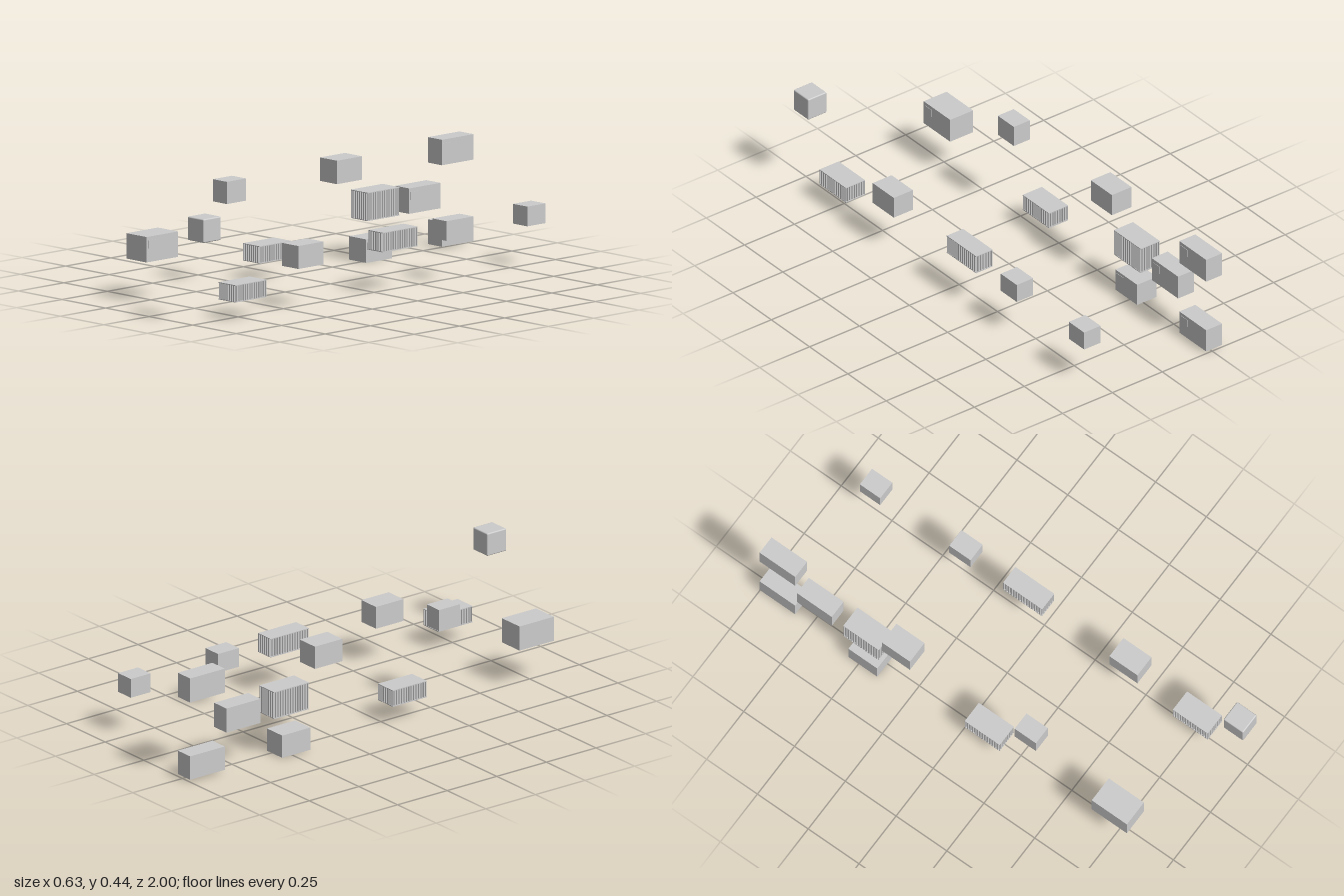
import * as THREE from 'three';
import { RoundedBoxGeometry } from 'three/addons/geometries/RoundedBoxGeometry.js';

const material = new THREE.MeshStandardMaterial({ color: 0xcccccc, flatShading: true });
const smoothMaterial = new THREE.MeshStandardMaterial({ color: 0xcccccc });

function addMesh(parent, name, geometry, x, y, z, mat = material) {
  const mesh = new THREE.Mesh(geometry, mat);
  mesh.name = name;
  mesh.position.set(x, y, z);
  parent.add(mesh);
  return mesh;
}

// Wall outline that steps in and out along all four sides
function corrugatedFootprint(w, d, depth, pitch) {
  const corners = [[-w / 2, -d / 2], [w / 2, -d / 2], [w / 2, d / 2], [-w / 2, d / 2]];
  const points = [];
  corners.forEach(([x0, y0], i) => {
    const [x1, y1] = corners[(i + 1) % 4];
    const length = Math.hypot(x1 - x0, y1 - y0);
    const dx = (x1 - x0) / length, dy = (y1 - y0) / length;
    const ribs = Math.round(length / pitch);
    const step = length / ribs;
    points.push(new THREE.Vector2(x0, y0));
    for (let k = 0; k < ribs; k++) {
      for (const [t, inset] of [[0.3, 0], [0.42, depth], [0.68, depth], [0.8, 0]]) {
        const s = (k + t) * step;
        points.push(new THREE.Vector2(x0 + dx * s - dy * inset, y0 + dy * s + dx * inset));
      }
    }
  });
  return new THREE.Shape(points);
}

// Ribbed walls between a flat floor and roof
function ribbedContainer(group, w, h, d) {
  const plate = 0.003;
  const walls = new THREE.ExtrudeGeometry(corrugatedFootprint(w - 0.001, d - 0.001, 0.005, 0.0125),
    { depth: h - 2 * plate, bevelEnabled: false });
  walls.rotateX(-Math.PI / 2);
  addMesh(group, 'ribbedWalls', walls, 0, -h / 2 + plate, 0);
  for (const [name, side] of [['floor', -1], ['roof', 1]]) {
    addMesh(group, name, new THREE.BoxGeometry(w, plate, d), 0, side * (h - plate) / 2, 0);
  }
}

// Plain crate, optionally with a small plate on its left side near the front
function plainCrate(group, w, h, d, hasPlate) {
  addMesh(group, 'body', new THREE.BoxGeometry(w, h, d), 0, 0, 0);
  if (hasPlate) {
    addMesh(group, 'sidePlate', new THREE.BoxGeometry(0.003, 0.032, 0.045), w / 2, h * 0.2, d / 2 - 0.031);
  }
}

// kind, x range, y range, z range
const crates = [
  ['plate', -0.30, -0.22, 0.34, 0.443, -1.00, -0.825],
  ['plate', -0.30, -0.22, 0.01, 0.11, -1.00, -0.825],
  ['plate', -0.30, -0.22, 0.167, 0.27, -0.817, -0.645],
  ['ribbed', -0.308, -0.212, 0.17, 0.285, -0.583, -0.408],
  ['plate', -0.318, -0.22, 0.0, 0.095, -0.55, -0.408],
  ['plain', -0.318, -0.22, 0.34, 0.435, -0.385, -0.247],
  ['ribbed', -0.308, -0.212, 0.077, 0.147, 0.015, 0.187],
  ['plain', -0.30, -0.22, 0.34, 0.43, 0.255, 0.36],
  ['plate', -0.317, -0.202, 0.167, 0.27, 0.647, 0.82],
  ['plain', 0.225, 0.307, 0.17, 0.25, -0.89, -0.79],
  ['plain', 0.225, 0.307, 0.17, 0.25, -0.45, -0.345],
  ['ribbed', 0.225, 0.307, 0.17, 0.25, -0.185, 0.007],
  ['plain', 0.22, 0.315, 0.167, 0.26, 0.342, 0.48],
  ['ribbed', 0.219, 0.315, 0.077, 0.147, 0.655, 0.827],
  ['rounded', 0.22, 0.313, 0.34, 0.436, 0.903, 1.00],
];

export function createModel() {
  const model = new THREE.Group();
  model.name = 'crates';
  crates.forEach(([kind, x0, x1, y0, y1, z0, z1], i) => {
    const group = new THREE.Group();
    group.name = `${kind}Crate${i + 1}`;
    group.position.set((x0 + x1) / 2, (y0 + y1) / 2, (z0 + z1) / 2);
    const size = [x1 - x0, y1 - y0, z1 - z0];
    if (kind === 'ribbed') ribbedContainer(group, ...size);
    else if (kind === 'rounded') {
      addMesh(group, 'body', new RoundedBoxGeometry(...size, 3, 0.005), 0, 0, 0, smoothMaterial);
    } else plainCrate(group, ...size, kind === 'plate');
    model.add(group);
  });
  return model;
}
